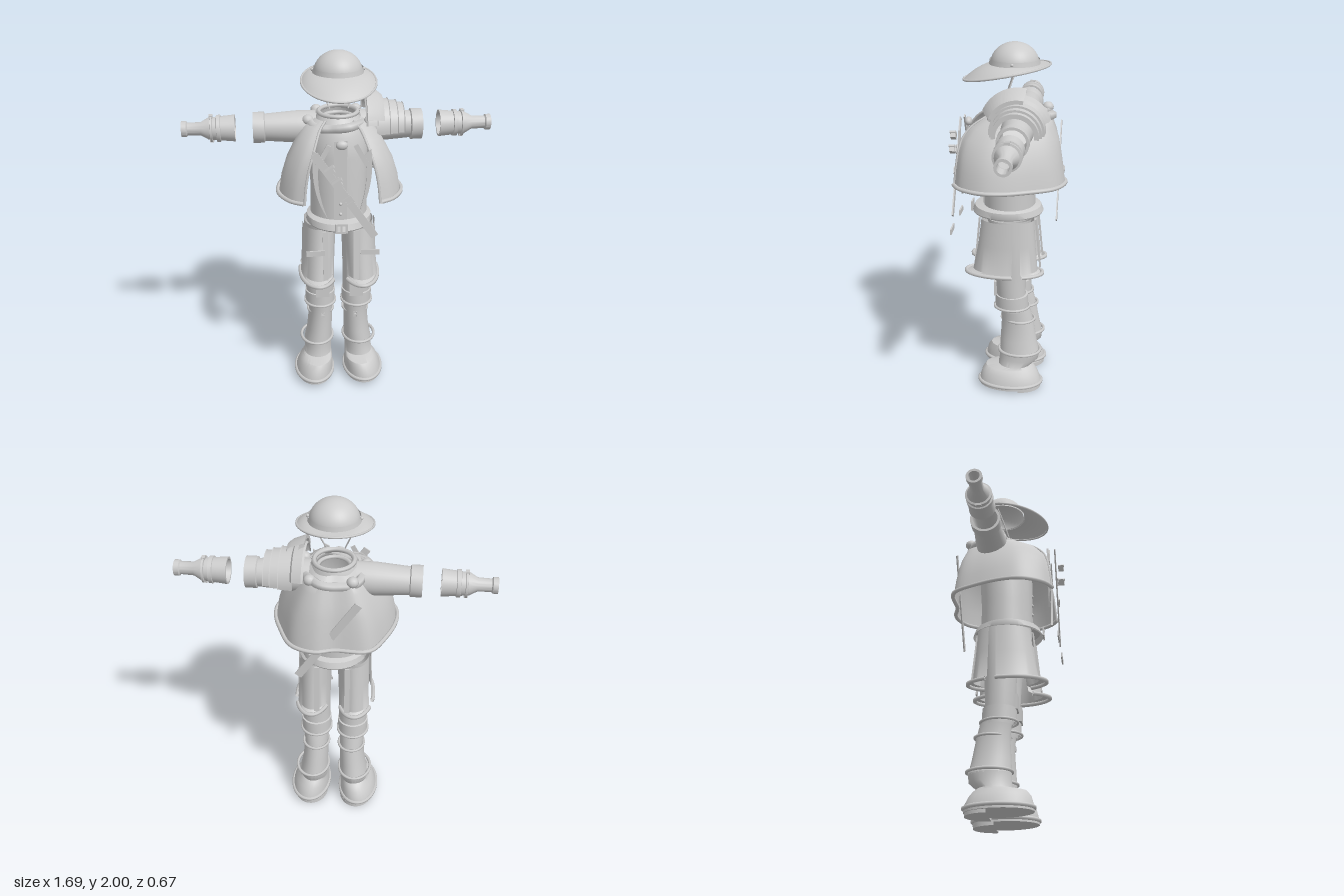
import * as THREE from 'three';
import { toCreasedNormals } from 'three/addons/utils/BufferGeometryUtils.js';

const TAU = Math.PI * 2;

export function createModel() {
  const model = new THREE.Group();
  const cloth = new THREE.MeshStandardMaterial({ color: 0xcccccc, side: THREE.DoubleSide });
  cloth.name = 'pale grey';

  const add = (name, geo, x = 0, y = 0, z = 0) => {
    const mesh = new THREE.Mesh(geo, cloth);
    mesh.name = name;
    mesh.position.set(x, y, z);
    model.add(mesh);
    return mesh;
  };
  const box = (name, w, h, d, x, y, z) => add(name, new THREE.BoxGeometry(w, h, d), x, y, z);

  // Grid surface: fn(u, v) gives [x, y, z]; u runs around, v along
  const sheet = (fn, nu, nv) => {
    const pos = [], idx = [];
    for (let j = 0; j <= nv; j++) for (let i = 0; i <= nu; i++) pos.push(...fn(i / nu, j / nv));
    for (let j = 0; j < nv; j++) for (let i = 0; i < nu; i++) {
      const a = j * (nu + 1) + i, b = a + nu + 1;
      idx.push(a, a + 1, b, a + 1, b + 1, b);
    }
    const geo = new THREE.BufferGeometry();
    geo.setAttribute('position', new THREE.Float32BufferAttribute(pos, 3));
    geo.setIndex(idx);
    return toCreasedNormals(geo, 0.7);
  };

  // Upright skin over elliptical rings [y, cx, cz, rx, rz], listed from the bottom
  const loft = (rings, s = 1, a0 = 0, a1 = TAU, n = 32) => sheet((u, v) => {
    const [y, cx, cz, rx, rz] = rings[Math.round(v * (rings.length - 1))];
    const a = a0 + (a1 - a0) * u;
    return [s * (cx + rx * Math.sin(a)), y, cz + rz * Math.cos(a)];
  }, n, rings.length - 1);

  // Skin turned around the arm axis, profile [x, r]
  const armY = 1.577, armZ = -0.075;
  const sleeve = (profile, s = 1, a0 = 0, a1 = TAU) => sheet((u, v) => {
    const [x, r] = profile[Math.round(v * (profile.length - 1))];
    const a = a0 + (a1 - a0) * u;
    return [s * x, armY + r * Math.cos(a), armZ + r * Math.sin(a)];
  }, 32, profile.length - 1);

  // Round cord along points
  const cord = (points, r, closed = false) => new THREE.TubeGeometry(
    new THREE.CatmullRomCurve3(points.map(p => new THREE.Vector3(...p)), closed), 64, r, 6, closed);
  const rim = ([y, cx, cz, rx, rz], r, s = 1, a0 = 0, a1 = TAU) => {
    const pts = [], closed = a1 - a0 > 6.2, n = 24;
    for (let i = 0; i < n + (closed ? 0 : 1); i++) {
      const a = a0 + (a1 - a0) * i / n;
      pts.push([s * (cx + rx * Math.sin(a)), y, cz + rz * Math.cos(a)]);
    }
    return cord(pts, r, closed);
  };

  // Hat with a brim that droops to the front
  const dome = add('hatDome', new THREE.SphereGeometry(0.13, 36, 14, 0, TAU, 0, Math.PI / 2), 0, 1.885, -0.037);
  dome.scale.y = 0.115 / 0.13;
  add('hatBand', new THREE.CylinderGeometry(0.133, 0.138, 0.03, 36, 1, true), 0, 1.897, -0.037);
  const brimPoint = (u, v) => {
    const a = u * TAU, z = (-0.037 + 0.042 * v) + (0.135 + 0.098 * v) * Math.cos(a);
    const x = (0.135 + 0.063 * v) * Math.sin(a);
    return [x, 1.887 - v * 0.088 * ((z + 0.235) / 0.475) ** 2 - v * v * 0.4 * x * x, z];
  };
  add('hatBrim', sheet(brimPoint, 48, 5));
  add('hatBrimEdge', cord(Array.from({ length: 32 }, (_, i) => brimPoint(i / 32, 1)), 0.006, true));
  for (const s of [-1, 1]) {
    add('hatStud', new THREE.SphereGeometry(0.009, 10, 8), s * 0.136, 1.9, -0.037);
    add('chinStrap', cord([[s * 0.12, 1.87, -0.05], [s * 0.086, 1.79, -0.02], [s * 0.05, 1.7, 0.01]], 0.004));
  }

  // Jacket body with neck opening
  add('jacket', loft([[1.04, 0, -0.012, 0.16, 0.146], [1.25, 0, -0.012, 0.156, 0.143],
    [1.45, 0, -0.02, 0.16, 0.148], [1.57, 0, -0.03, 0.15, 0.15], [1.63, 0, -0.045, 0.125, 0.13],
    [1.67, 0, -0.055, 0.1, 0.105]]));
  add('neckRing', rim([1.665, 0, -0.055, 0.105, 0.11], 0.013));
  add('innerNeck', rim([1.63, 0, -0.055, 0.085, 0.09], 0.012));
  box('placket', 0.07, 0.46, 0.008, 0, 1.33, 0.133);
  for (const y of [1.14, 1.2, 1.26, 1.32]) add('button', new THREE.SphereGeometry(0.009, 10, 8), 0, y, 0.139);

  // Belt and buckle
  const beltRings = [[1.055, 0, -0.002, 0.18, 0.196], [1.062, 0, -0.002, 0.184, 0.2],
    [1.095, 0, -0.002, 0.18, 0.187], [1.105, 0, -0.01, 0.158, 0.147]];
  add('belt', loft(beltRings));
  const frame = new THREE.Shape([[-0.034, -0.028], [0.034, -0.028], [0.034, 0.028], [-0.034, 0.028]].map(p => new THREE.Vector2(...p)));
  frame.holes.push(new THREE.Path([[-0.022, -0.017], [-0.022, 0.017], [0.022, 0.017], [0.022, -0.017]].map(p => new THREE.Vector2(...p))));
  const buckle = new THREE.ExtrudeGeometry(frame, { depth: 0.008, bevelEnabled: false });
  add('beltBuckle', buckle, 0, 1.08, 0.197);
  box('buckleTongue', 0.01, 0.05, 0.008, 0, 1.08, 0.2);

  // Short cape, open at the front
  const hem = new THREE.CatmullRomCurve3([[0.2, 0.268], [0.265, 0.225], [0.325, 0.11], [0.325, 0],
    [0.28, -0.13], [0.2, -0.275], [0.08, -0.322], [-0.02, -0.295], [-0.2, -0.285], [-0.28, -0.15],
    [-0.325, 0], [-0.325, 0.11], [-0.265, 0.225], [-0.2, 0.268]].map(([x, z]) => new THREE.Vector3(x, 0, z)));
  const capeRows = [[1.255, 1, 1, 0], [1.35, 0.955, 0.965, 0], [1.44, 0.87, 0.92, 0], [1.51, 0.76, 0.86, -0.005],
    [1.57, 0.65, 0.74, -0.02], [1.615, 0.53, 0.6, -0.05], [1.645, 0.38, 0.42, -0.055]];
  const capePoint = (u, v) => {
    const [y, sx, sz, cz] = capeRows[Math.round(v * (capeRows.length - 1))], p = hem.getPoint(u);
    return [p.x * sx, y, p.z * sz + cz];
  };
  add('cape', sheet(capePoint, 64, capeRows.length - 1));
  add('capeHem', cord(Array.from({ length: 41 }, (_, i) => {
    const [x, y, z] = capePoint(i / 40, 0);
    return [x * 1.02, y + 0.008, z * 1.01];
  }), 0.012));
  for (const u of [0, 1]) add('capeFrontEdge', cord(capeRows.map((_, i) => capePoint(u, i / (capeRows.length - 1))), 0.007));

  // Bunched scarf collar, knots and throat clasp
  add('collar', cord(Array.from({ length: 20 }, (_, i) => {
    const a = i / 20 * TAU, r = 0.158 + 0.01 * Math.sin(5 * a);
    return [r * Math.sin(a), 1.615 + 0.01 * Math.sin(3 * a), -0.07 + r * 1.08 * Math.cos(a)];
  }), 0.025, true));
  for (const [x, z] of [[-0.165, -0.02], [0.165, 0.02], [-0.11, -0.21], [0.11, -0.21]])
    add('collarKnot', new THREE.SphereGeometry(0.032, 12, 8), x, 1.63, z).scale.y = 0.9;
  add('throatClasp', new THREE.SphereGeometry(0.032, 16, 12), 0, 1.565, 0.217).scale.set(1, 0.75, 0.65);

  // Diagonal shoulder strap, front and back
  for (const z of [0.286, -0.285]) box('shoulderStrap', 0.042, 0.57, 0.007, 0.012, 1.307, z).rotation.z = 0.595;
  for (const [x, y, k] of [[0.03, 1.285, 0.75], [-0.035, 1.39, 0.75]]) {
    const b = add('strapBuckle', buckle, x, y, 0.291);
    b.rotation.z = 0.595;
    b.scale.setScalar(k);
  }
  for (const [x, y] of [[-0.07, 1.46], [-0.03, 1.39]]) {
    box('strapPouch', 0.045, 0.035, 0.03, x, y, 0.315).rotation.z = 0.595;
    box('pouchFlap', 0.05, 0.012, 0.034, x, y + 0.015, 0.316).rotation.z = 0.595;
  }

  for (const s of [-1, 1]) {
    // Hanging lapel and loose hip tab
    const lapel = new THREE.Shape();
    lapel.moveTo(s * 0.08, 1.17);
    lapel.quadraticCurveTo(s * 0.15, 1.36, s * 0.115, 1.52);
    lapel.lineTo(s * 0.15, 1.55);
    lapel.quadraticCurveTo(s * 0.175, 1.33, s * 0.08, 1.17);
    add('lapel', new THREE.ExtrudeGeometry(lapel, { depth: 0.01, bevelEnabled: false }), 0, 0, 0.24);
    const cross = box('chestTab', 0.026, 0.13, 0.008, s * 0.1, 1.52, 0.25);
    cross.rotation.z = s * 0.5;
    box('hipTab', 0.1, 0.03, 0.008, s * 0.147, 0.983, 0.295).rotation.z = -s * 0.03;

    // Upper sleeve with turned cuff
    add('upperSleeve', sleeve([[0.12, 0.088], [0.22, 0.088], [0.395, 0.074], [0.4, 0.084], [0.46, 0.084],
      [0.46, 0.07], [0.3, 0.065]], s));
    // Separate forearm: gauntlet, band and wrist
    add('forearm', sleeve([[0.6, 0.055], [0.557, 0.062], [0.557, 0.073], [0.67, 0.062], [0.7, 0.06], [0.74, 0.037],
      [0.812, 0.034], [0.818, 0.043], [0.845, 0.043], [0.845, 0.03], [0.78, 0.027]], s));
    add('forearmBand', sleeve([[0.633, 0.066], [0.635, 0.073], [0.655, 0.073], [0.657, 0.064]], s));
    for (const y of [0.075, -0.075]) box('forearmBuckle', 0.02, 0.014, 0.03, s * 0.685, armY + y * 0.92, armZ);
    add('wristStrap', sleeve([[0.678, 0.06], [0.68, 0.072], [0.69, 0.072], [0.692, 0.06]], s));

    // Trouser leg
    add('trouserLeg', loft([[0.49, 0.108, -0.045, 0.078, 0.083], [0.6, 0.108, -0.032, 0.082, 0.083],
      [0.75, 0.11, -0.03, 0.085, 0.088], [0.95, 0.108, -0.025, 0.09, 0.1], [1.05, 0.1, -0.02, 0.095, 0.125]], s));
    // Split skirt panels with piped hem
    const hemRing = [0.73, 0.122, 0.006, 0.101, 0.215];
    const skirt = [hemRing, [0.745, 0.121, 0, 0.097, 0.182], [0.9, 0.115, -0.008, 0.095, 0.16], [1.045, 0.11, -0.012, 0.095, 0.147]];
    for (const [name, a0, a1] of [['frontSkirt', -0.95, 1.82], ['backSkirt', 2.1, Math.PI + 0.95]]) {
      add(name, loft(skirt, s, a0, a1, 20));
      add(name + 'Hem', rim(hemRing, 0.012, s, a0, a1));
    }
    for (const [z, t] of [[0.163, -1], [-0.18, 1]]) box('skirtStrip', 0.03, 0.29, 0.008, s * 0.085, 0.895, z).rotation.x = t * 0.1;

    // Knee band and patch
    add('kneeBand', loft([[0.5, 0.108, -0.037, 0.086, 0.095], [0.585, 0.108, -0.035, 0.088, 0.093],
      [0.587, 0.108, -0.035, 0.078, 0.082]], s));
    add('kneeBandTrim', rim([0.51, 0.108, -0.038, 0.088, 0.1], 0.008, s));
    box('kneePatch', 0.078, 0.088, 0.016, s * 0.098, 0.62, 0.057);

    // Greave with two trims and a clasp
    add('greave', loft([[0.22, 0.12, -0.083, 0.083, 0.116], [0.3, 0.112, -0.076, 0.075, 0.105],
      [0.43, 0.105, -0.068, 0.07, 0.09], [0.5, 0.107, -0.055, 0.074, 0.085]], s));
    add('greaveTopTrim', rim([0.428, 0.105, -0.082, 0.075, 0.085], 0.008, s));
    add('greaveBottomTrim', rim([0.235, 0.127, -0.084, 0.094, 0.12], 0.009, s));
    for (const x of [0.09, 0.106]) box('greaveClasp', 0.005, 0.03, 0.012, s * x, 0.428, 0.023);
    box('greaveClaspBar', 0.02, 0.006, 0.012, s * 0.098, 0.428, 0.025);

    // Boot, stitched welt, sole and heel
    add('boot', loft([[0.03, 0.148, -0.032, 0.112, 0.182], [0.055, 0.146, -0.032, 0.11, 0.178],
      [0.1, 0.138, -0.028, 0.1, 0.162], [0.128, 0.13, -0.028, 0.09, 0.142], [0.142, 0.125, -0.056, 0.083, 0.096],
      [0.18, 0.122, -0.08, 0.08, 0.113], [0.225, 0.12, -0.083, 0.083, 0.116]], s));
    add('bootWelt', rim([0.04, 0.148, -0.032, 0.112, 0.182], 0.011, s));
    const sole = add('sole', new THREE.CylinderGeometry(1, 1, 0.016, 36), s * 0.148, 0.026, -0.032);
    sole.scale.set(0.112, 1, 0.182);
    const heel = add('heel', new THREE.CylinderGeometry(1, 1, 0.026, 24, 1, false, Math.PI / 2, Math.PI), s * 0.14, 0.013, -0.085);
    heel.scale.set(0.1, 1, 0.125);
  }

  // Layered guard on the left shoulder
  [[0.2, 0.27, 0.148, 0.142], [0.25, 0.315, 0.137, 0.131], [0.3, 0.352, 0.125, 0.119]].forEach(([x0, x1, r0, r1]) => {
    add('shoulderPlate', sleeve([[x0, r0 - 0.015], [x0, r0], [x1, r1], [x1 + 0.004, r1 + 0.004], [x1 + 0.004, r1 - 0.02]], 1, -1.65, 1.65));
  });
  add('shoulderCollar', sleeve([[0.24, 0.135], [0.24, 0.165], [0.215, 0.185], [0.145, 0.212], [0.145, 0.19], [0.21, 0.15]], 1, -0.2, 1.15));
  add('shoulderBase', sleeve([[0.14, 0.168], [0.15, 0.176], [0.2, 0.165], [0.21, 0.148]], 1, -1.3, 1.3));

  return model;
}
